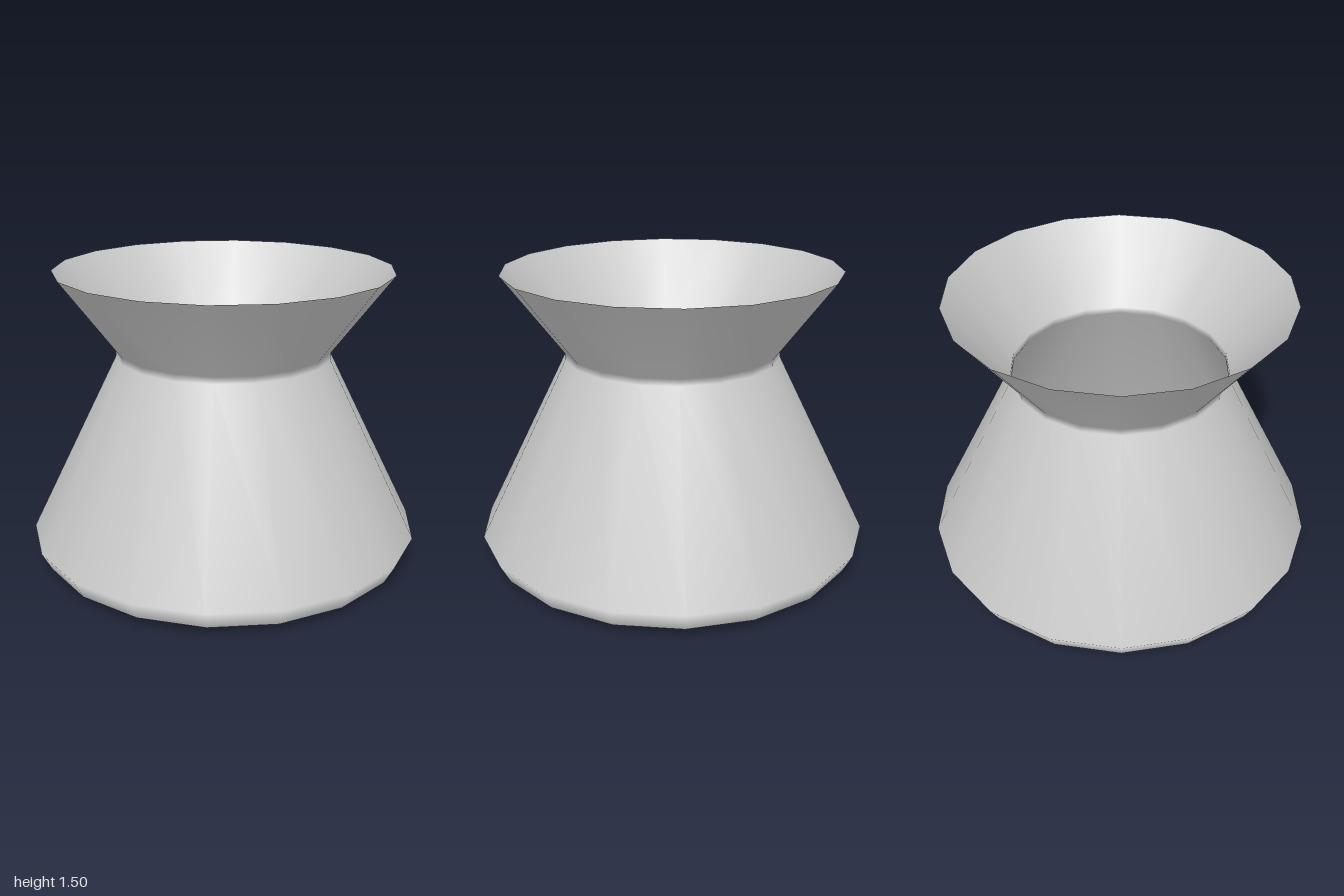
import * as THREE from 'three';

const SIDES = 18;

// Revolve a [radius, height] profile, listed bottom to top, into a named mesh
function revolve(name, profile, material) {
  const points = profile.map(([r, y]) => new THREE.Vector2(r, y));
  const mesh = new THREE.Mesh(new THREE.LatheGeometry(points, SIDES), material);
  mesh.name = name;
  return mesh;
}

export function createModel() {
  const material = new THREE.MeshStandardMaterial({ color: 0xcccccc, side: THREE.DoubleSide });
  const group = new THREE.Group();
  group.name = 'vessel';

  // Thin open wall: beveled foot, tapering body, narrow neck and flared mouth
  group.add(revolve('wall', [
    [0.95, 0.045],
    [1.0, 0.14],
    [0.543, 1.06],
    [0.543, 1.095],
    [0.843, 1.495],
  ], material));

  // Slightly domed base, kept separate so its rim stays sharp
  group.add(revolve('base', [
    [0, 0],
    [0.74, 0.008],
    [0.95, 0.045],
  ], material));

  return group;
}
